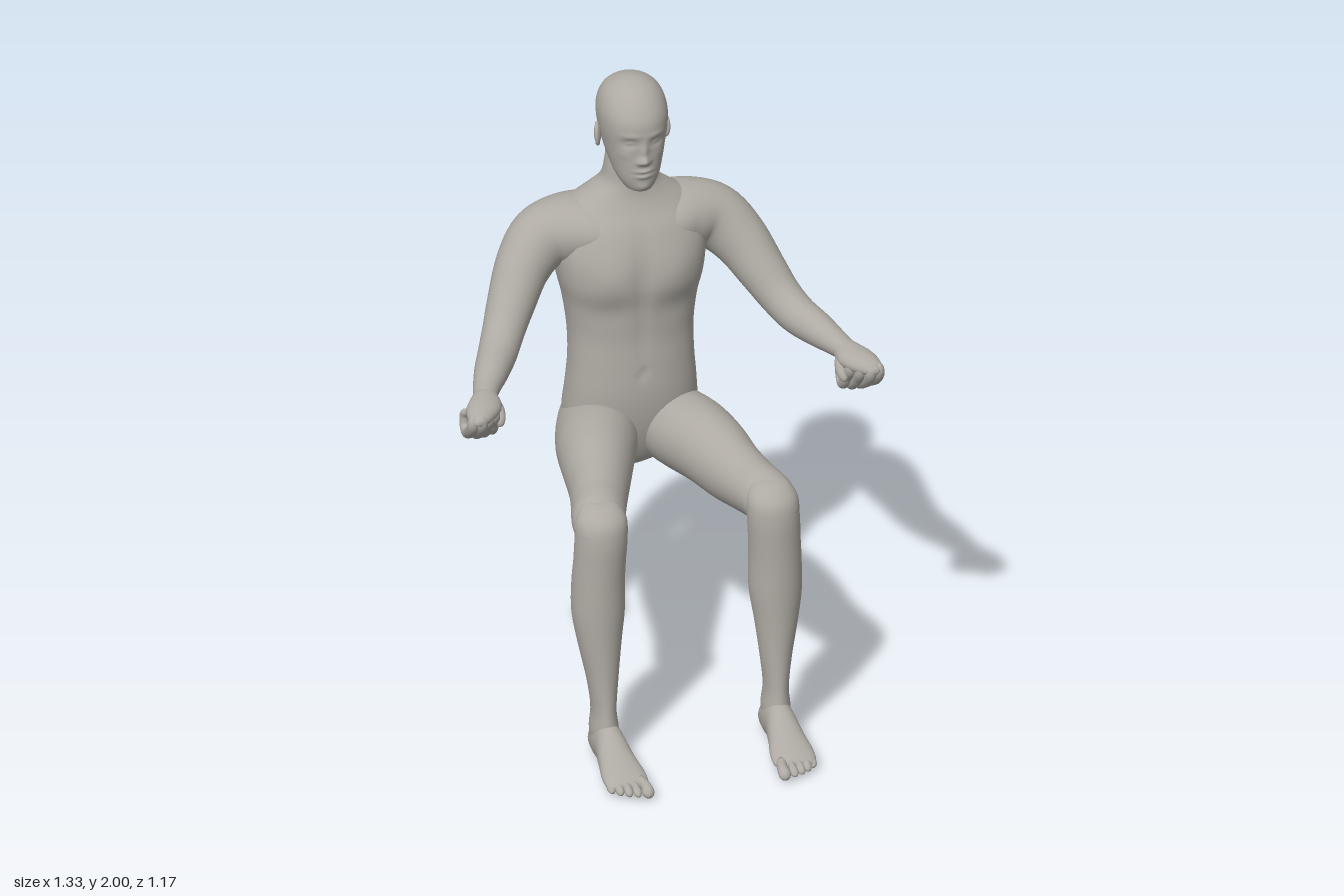
import * as THREE from 'three';

const skin = new THREE.MeshStandardMaterial({ color: 0xaeaaa3 });
skin.name = 'skin';

const right = new THREE.Vector3(1, 0, 0), up = new THREE.Vector3(0, 1, 0);
const down = new THREE.Vector3(0, -1, 0), ahead = new THREE.Vector3(0, 0, 1);

// Loft through rows [x, y, z, halfSize along ref, halfSize across, roundness = 2].
// s mirrors x; dir fixes the slice direction (along the path); deform moves each point.
function loft(rows, { s = 1, segs = 28, sub = 5, dir = null, ref = right, deform = null } = {}) {
  const path = new THREE.CatmullRomCurve3(rows.map(r => new THREE.Vector3(r[0] * s, r[1], r[2])), false, 'catmullrom', 0.5);
  const size = new THREE.CatmullRomCurve3(rows.map(r => new THREE.Vector3(r[3], r[4], r[5] || 2)), false, 'catmullrom', 0.5);
  const n = (rows.length - 1) * sub;
  const pos = [], index = [];
  const pow = (v, e) => Math.sign(v) * Math.abs(v) ** (2 / e);
  const push = p => { if (deform) deform(p); pos.push(p.x, p.y, p.z); };
  for (let i = 0; i <= n; i++) {
    const c = path.getPoint(i / n), r = size.getPoint(i / n);
    const t = dir || path.getTangent(i / n);
    const u = ref.clone().addScaledVector(t, -t.dot(ref)).normalize();
    const v = new THREE.Vector3().crossVectors(t, u);
    for (let j = 0; j < segs; j++) {
      const a = j / segs * Math.PI * 2;
      push(c.clone()
        .addScaledVector(u, Math.max(r.x, 0.001) * pow(Math.cos(a), r.z))
        .addScaledVector(v, Math.max(r.y, 0.001) * pow(Math.sin(a), r.z)));
    }
  }
  for (let i = 0; i < n; i++) for (let j = 0; j < segs; j++) {
    const a = i * segs + j, b = i * segs + (j + 1) % segs;
    index.push(a, b, b + segs, a, b + segs, a + segs);
  }
  // end caps
  push(path.getPoint(0));
  push(path.getPoint(1));
  const c0 = (n + 1) * segs, last = n * segs;
  for (let j = 0; j < segs; j++) {
    const k = (j + 1) % segs;
    index.push(c0, k, j, c0 + 1, last + j, last + k);
  }
  const g = new THREE.BufferGeometry();
  g.setAttribute('position', new THREE.Float32BufferAttribute(pos, 3));
  g.setIndex(index);
  g.computeVertexNormals();
  return g;
}

// Symmetric soft bumps [|x|, y, spreadX, spreadY, push in z] on one side of a z plane.
const bumps = (list, mid, sign) => p => {
  const w = THREE.MathUtils.clamp((p.z - mid) * sign / 0.06, 0, 1);
  let d = 0;
  for (const [x, y, sx, sy, amp] of list)
    d += amp * Math.exp(-(((Math.abs(p.x) - x) / sx) ** 2) - ((p.y - y) / sy) ** 2);
  p.z += d * w;
};

// Horizontal slices [y, zBack, zFront, halfWidth, roundness]
const slices = rows => rows.map(([y, b, f, w, e]) => [0, y, (b + f) / 2, w, (f - b) / 2, e]);

export function createModel() {
  const model = new THREE.Group();
  model.name = 'seatedFigure';
  const add = (name, geo, parent = model) => {
    const m = new THREE.Mesh(geo, skin);
    m.name = name;
    parent.add(m);
  };

  // torso and neck, with chest, navel, spine groove, shoulder blades and seat cleft
  const chest = bumps([[0.1, 1.36, 0.07, 0.07, 0.01], [0, 1.36, 0.025, 0.12, -0.008],
    [0, 1.03, 0.012, 0.015, -0.007], [0, 1.18, 0.015, 0.12, -0.004], [0.11, 1.24, 0.08, 0.04, -0.005]], -0.42, 1);
  const back = bumps([[0, 1.24, 0.035, 0.22, 0.018], [0.13, 1.42, 0.06, 0.1, -0.008],
    [0, 0.76, 0.045, 0.09, 0.04]], -0.46, -1);
  add('torso', loft(slices([
    [0.672, -0.47, -0.36, 0.02], [0.685, -0.51, -0.34, 0.08], [0.715, -0.545, -0.31, 0.15], [0.78, -0.566, -0.28, 0.2, 2.2],
    [0.86, -0.562, -0.26, 0.21, 2.3], [0.95, -0.545, -0.252, 0.204, 2.3], [1.05, -0.537, -0.256, 0.196, 2.3],
    [1.15, -0.55, -0.262, 0.197, 2.3], [1.25, -0.568, -0.256, 0.21, 2.4], [1.33, -0.58, -0.248, 0.228, 2.5],
    [1.42, -0.586, -0.258, 0.238, 2.5], [1.5, -0.578, -0.285, 0.23, 2.3], [1.56, -0.555, -0.318, 0.19],
    [1.6, -0.53, -0.335, 0.135], [1.64, -0.505, -0.342, 0.09], [1.7, -0.485, -0.345, 0.077], [1.78, -0.475, -0.36, 0.07]
  ]), { segs: 96, sub: 6, dir: up, deform: p => { chest(p); back(p); } }));

  // head with modelled face
  const head = new THREE.Group();
  head.name = 'head';
  model.add(head);
  const face = bumps([
    [0, 1.775, 0.013, 0.013, 0.022], [0, 1.803, 0.011, 0.026, 0.012], [0.015, 1.769, 0.008, 0.008, 0.009],
    [0.043, 1.832, 0.022, 0.013, -0.013], [0.043, 1.832, 0.015, 0.007, 0.008], [0.04, 1.858, 0.03, 0.008, 0.003],
    [0.06, 1.79, 0.018, 0.018, 0.004], [0, 1.737, 0.024, 0.006, 0.009], [0, 1.719, 0.021, 0.006, 0.009],
    [0, 1.728, 0.028, 0.0025, -0.004], [0, 1.68, 0.022, 0.014, 0.005]
  ], -0.36, 1);
  add('skull', loft(slices([
    [1.658, -0.33, -0.275, 0.025], [1.665, -0.36, -0.256, 0.043], [1.7, -0.42, -0.246, 0.067, 2.15], [1.75, -0.475, -0.243, 0.083, 2.2],
    [1.8, -0.508, -0.244, 0.095, 2.2], [1.85, -0.526, -0.24, 0.104, 2.2], [1.9, -0.525, -0.246, 0.106, 2.15], [1.945, -0.504, -0.272, 0.094, 2.1],
    [1.975, -0.472, -0.304, 0.071], [1.993, -0.43, -0.345, 0.038], [2, -0.39, -0.385, 0.002]
  ]), { segs: 96, sub: 10, dir: up, deform: face }), head);

  for (const s of [1, -1]) {
    const side = s > 0 ? 'left' : 'right';
    const part = (name, rows, opts) => add(side + name, loft(rows, { s, ...opts }));

    // ear: bowl and rim
    const ear = new THREE.Group();
    ear.name = side + 'Ear';
    ear.position.set(s * 0.107, 1.812, -0.392);
    ear.rotation.set(-0.15, s * 0.4, 0);
    head.add(ear);
    add('earBowl', new THREE.SphereGeometry(1, 20, 14).scale(0.011, 0.036, 0.021), ear);
    add('earRim', new THREE.TorusGeometry(0.031, 0.006, 10, 28).scale(0.66, 1.08, 1).rotateY(Math.PI / 2), ear);

    // arm, running out of the chest through the shoulder to the wrist
    part('Arm', [
      [0.03, 1.465, -0.43, 0.07, 0.12], [0.11, 1.477, -0.436, 0.096, 0.138], [0.195, 1.472, -0.443, 0.106, 0.124],
      [0.278, 1.448, -0.435, 0.104, 0.1], [0.345, 1.386, -0.393, 0.091, 0.086], [0.4, 1.3, -0.33, 0.077, 0.075],
      [0.44, 1.237, -0.275, 0.068, 0.066], [0.478, 1.195, -0.21, 0.062, 0.061], [0.52, 1.177, -0.13, 0.054, 0.054],
      [0.555, 1.163, -0.06, 0.041, 0.043], [0.578, 1.158, 0, 0.032, 0.036], [0.59, 1.155, 0.04, 0.024, 0.03]
    ], { segs: 48, ref: up });

    // half-closed hand
    part('Palm', [
      [0.57, 1.158, -0.03, 0.034, 0.031], [0.583, 1.153, 0.01, 0.047, 0.037], [0.594, 1.15, 0.045, 0.057, 0.036],
      [0.606, 1.149, 0.08, 0.053, 0.03], [0.622, 1.144, 0.112, 0.037, 0.022], [0.63, 1.14, 0.134, 0.012, 0.009]
    ], { dir: ahead });
    [0.075, 0.1, 0.12, 0.116].forEach((z, i) => {
      const x = 0.567 + 0.026 * i, y = 1.041 + 0.005 * Math.abs(i - 1.5);
      part('Finger' + (i + 1), [
        [x, 1.157, z - 0.012, 0.008, 0.008], [x + 0.002, 1.146, z - 0.005, 0.016, 0.016],
        [x + 0.002, 1.125, z - 0.006, 0.019, 0.019], [x, 1.096, z - 0.03, 0.019, 0.019],
        [x - 0.004, y + 0.026, z * 0.45, 0.018, 0.018], [x - 0.006, y + 0.005, 0.012, 0.017, 0.017],
        [x - 0.006, y + 0.016, -0.016, 0.015, 0.015], [x - 0.006, y + 0.045, -0.022, 0.014, 0.014],
        [x - 0.006, y + 0.065, -0.012, 0.011, 0.011], [x - 0.006, y + 0.073, -0.006, 0.003, 0.003]
      ], { segs: 16 });
    });
    part('Thumb', [
      [0.568, 1.15, 0.005, 0.018, 0.018], [0.551, 1.138, 0.03, 0.021, 0.021], [0.545, 1.118, 0.054, 0.017, 0.017],
      [0.55, 1.1, 0.07, 0.013, 0.013], [0.554, 1.092, 0.076, 0.003, 0.003]
    ], { segs: 16 });

    // buttock and thigh to kneecap
    part('Thigh', [
      [0.1, 0.785, -0.577, 0.015, 0.015], [0.1, 0.785, -0.563, 0.055, 0.062], [0.103, 0.785, -0.52, 0.09, 0.1],
      [0.113, 0.785, -0.45, 0.11, 0.12], [0.128, 0.794, -0.36, 0.124, 0.125], [0.149, 0.808, -0.25, 0.13, 0.125],
      [0.182, 0.81, -0.12, 0.115, 0.117], [0.212, 0.797, 0, 0.098, 0.106], [0.242, 0.792, 0.1, 0.09, 0.092],
      [0.266, 0.791, 0.18, 0.087, 0.084], [0.275, 0.783, 0.24, 0.081, 0.071], [0.277, 0.775, 0.282, 0.062, 0.054],
      [0.278, 0.77, 0.304, 0.03, 0.026], [0.278, 0.77, 0.309, 0.005, 0.005]
    ], { segs: 48, dir: ahead });

    // knee to ankle
    part('Shin', [
      [0.272, 0.862, 0.2, 0.03, 0.03], [0.272, 0.848, 0.21, 0.058, 0.055], [0.273, 0.81, 0.228, 0.08, 0.074],
      [0.275, 0.75, 0.237, 0.082, 0.077], [0.279, 0.67, 0.234, 0.081, 0.081], [0.282, 0.6, 0.229, 0.082, 0.086],
      [0.283, 0.5, 0.23, 0.082, 0.086], [0.282, 0.4, 0.242, 0.068, 0.074], [0.277, 0.28, 0.256, 0.049, 0.063],
      [0.275, 0.18, 0.263, 0.038, 0.063], [0.274, 0.11, 0.264, 0.044, 0.07], [0.274, 0.05, 0.262, 0.038, 0.06]
    ], { segs: 40, dir: down });

    // foot and toes
    part('Foot', [
      [0.272, 0.05, 0.187, 0.012, 0.015], [0.272, 0.053, 0.205, 0.036, 0.045], [0.272, 0.068, 0.26, 0.046, 0.066],
      [0.272, 0.073, 0.325, 0.048, 0.07], [0.271, 0.055, 0.4, 0.058, 0.049], [0.269, 0.042, 0.46, 0.068, 0.033],
      [0.268, 0.033, 0.505, 0.067, 0.022], [0.268, 0.028, 0.528, 0.05, 0.012]
    ], { dir: ahead });
    [0.585, 0.577, 0.567, 0.552, 0.532].forEach((z, i) => {
      const x = [0.218, 0.25, 0.275, 0.299, 0.321][i], r = i ? 0.0125 : 0.018;
      part('Toe' + (i + 1), [
        [x + (0.268 - x) * 0.15, 0.034, z - 0.085, r, r], [x, 0.032, z - 0.045, r * 0.92, r],
        [x, 0.026, z - 0.018, r * 1.05, r], [x, 0.022, z - 0.005, r * 0.7, r * 0.65], [x, 0.021, z, r * 0.15, r * 0.15]
      ], { segs: 16, dir: ahead });
    });
  }
  return model;
}
